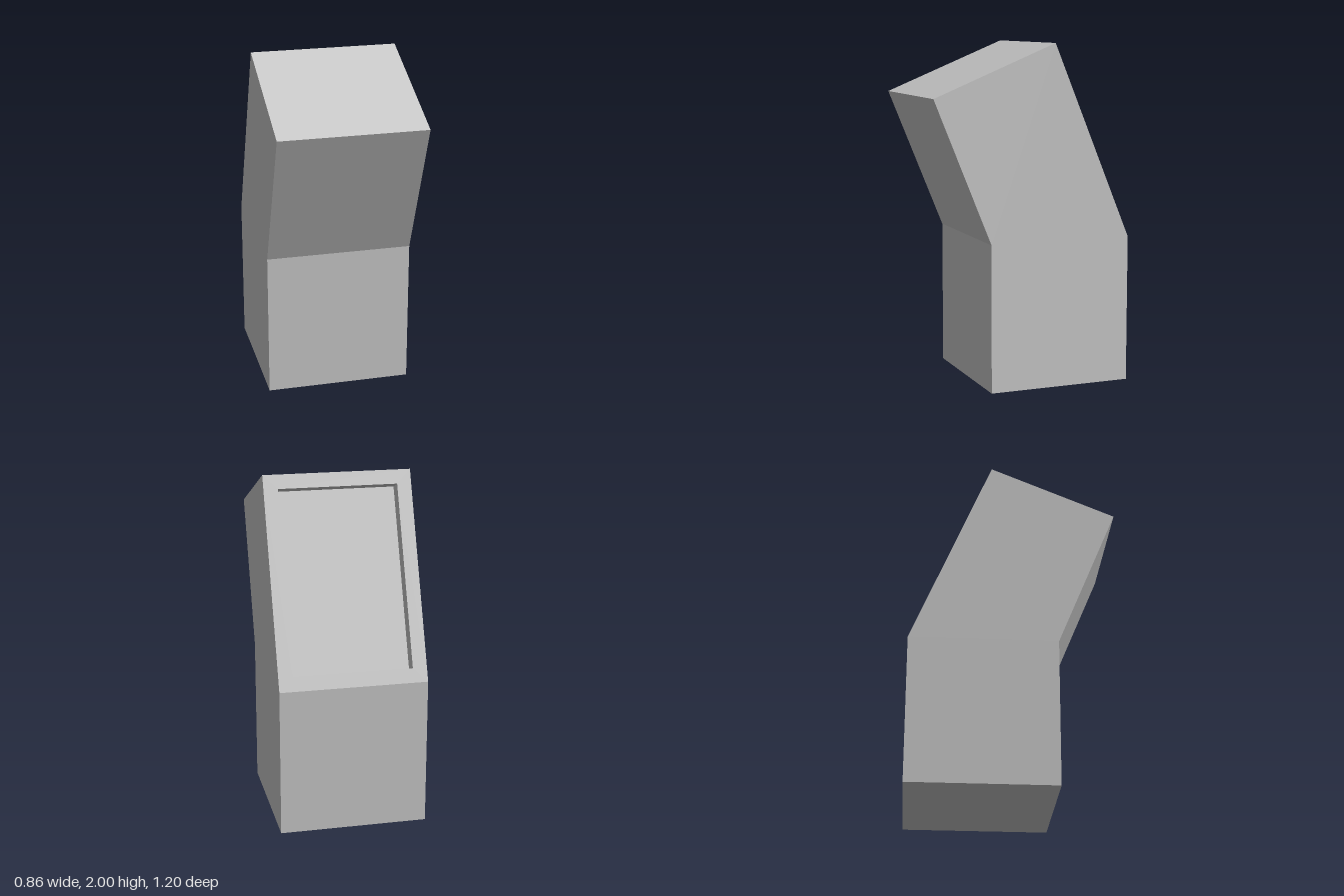
import * as THREE from 'three';

const W = 0.43;          // half width
const DEPTH = 0.087;     // recess depth
const MARGIN = 0.083;    // frame width around the recess

// Side profile as [z, y]: front foot, front bend, front top, back top, back bend, back foot
const PROFILE = [[0.26, 0], [0.26, 0.865], [0.6, 1.7], [-0.13, 2], [-0.6, 0.865], [-0.6, 0]];
const at = (x, i) => new THREE.Vector3(x, PROFILE[i][1], PROFILE[i][0]);

// Flat-faced mesh from quads with corners counter-clockwise seen from outside
function quadMesh(name, quads) {
  const points = quads.flatMap(([a, b, c, d]) => [a, b, c, a, c, d]);
  const geometry = new THREE.BufferGeometry().setFromPoints(points);
  geometry.computeVertexNormals();
  const mesh = new THREE.Mesh(geometry, new THREE.MeshStandardMaterial({ color: 0xcccccc, flatShading: true }));
  mesh.name = name;
  return mesh;
}

// Quads joining two four-cornered rings
const bridge = (outer, inner) => outer.map((p, i) => {
  const j = (i + 1) % 4;
  return [p, outer[j], inner[j], inner[i]];
});

export function createModel() {
  const group = new THREE.Group();
  group.name = 'bentCabinet';

  // Body: strips around the profile (the sloping back is left open) and both sides
  const body = [];
  for (const i of [0, 1, 2, 4, 5]) {
    const j = (i + 1) % 6;
    body.push([at(-W, i), at(W, i), at(W, j), at(-W, j)]);
  }
  for (const half of [[0, 5, 4, 1], [1, 4, 3, 2]]) {
    body.push(half.map((i) => at(W, i)));
    body.push([...half].reverse().map((i) => at(-W, i)));
  }
  group.add(quadMesh('cabinetBody', body));

  // Sloping back: rectangular rings set in from its edge and sunk along its normal
  const base = at(0, 4);
  const up = at(0, 3).sub(base);
  const length = up.length();
  up.normalize();
  const inward = new THREE.Vector3(0, -up.z, up.y);
  const ring = (inset, depth) => [[1, 0], [-1, 0], [-1, 1], [1, 1]].map(([side, top]) =>
    base.clone()
      .addScaledVector(up, top ? length - inset : inset)
      .addScaledVector(inward, depth)
      .setX(side * (W - inset)));
  const edge = ring(0, 0);
  const opening = ring(MARGIN, 0);
  const floor = ring(MARGIN, DEPTH);
  group.add(quadMesh('backFrame', bridge(edge, opening)));
  group.add(quadMesh('recessWalls', bridge(opening, floor)));
  group.add(quadMesh('recessPanel', [floor]));

  return group;
}
